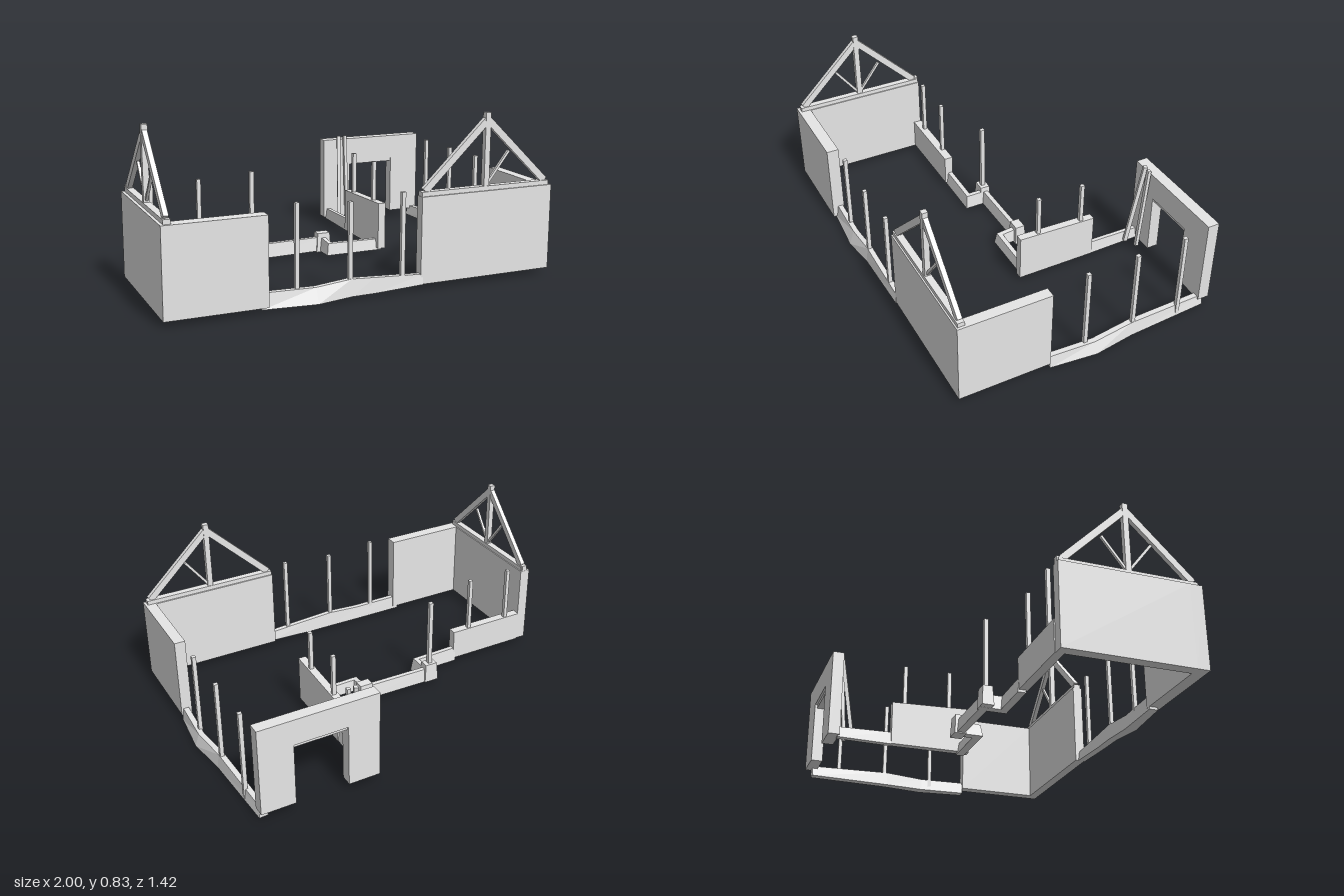
import * as THREE from 'three';

export function createModel() {
  const group = new THREE.Group();
  const plaster = new THREE.MeshStandardMaterial({ color: 0xe6e6e6 });
  plaster.name = 'plain grey';

  const add = (name, geometry) => {
    const mesh = new THREE.Mesh(geometry, plaster);
    mesh.name = name;
    group.add(mesh);
    return mesh;
  };

  // Box given by its limits on each axis
  const box = (name, x0, x1, y0, y1, z0, z1) =>
    add(name, new THREE.BoxGeometry(x1 - x0, y1 - y0, z1 - z0))
      .position.set((x0 + x1) / 2, (y0 + y1) / 2, (z0 + z1) / 2);

  const post = (name, x, z, y0, y1, w = 0.02) =>
    box(name, x - w / 2, x + w / 2, y0, y1, z - w / 2, z + w / 2);

  // Square timber between two points
  const beam = (name, from, to, w, d = w) => {
    const a = new THREE.Vector3(...from), b = new THREE.Vector3(...to);
    const mesh = add(name, new THREE.BoxGeometry(w, d, a.distanceTo(b)));
    mesh.position.copy(a).add(b).multiplyScalar(0.5);
    mesh.lookAt(b);
  };

  // Mitred footing along [x, z, bottom, top, outer flare] points, wider at the foot
  const sill = (name, path, topWidth, footWidth) => {
    const rings = path.map(([x, z, y0, y1, flare = 0], i) => {
      const dir = (p, q) => new THREE.Vector2(q[0] - p[0], q[1] - p[1]).normalize();
      const before = dir(path[Math.max(i - 1, 0)], path[Math.max(i, 1)]);
      const after = i < path.length - 1 ? dir(path[i], path[i + 1]) : before;
      const mid = before.clone().add(after).normalize();
      const stretch = 1 / mid.dot(after);
      const nx = -mid.y * stretch, nz = mid.x * stretch;
      const t = topWidth / 2, f = footWidth / 2;
      return [[f + flare, y0], [t, y1], [-t, y1], [-f, y0]]
        .map(([s, y]) => [x + nx * s, y, z + nz * s]);
    });
    const verts = [];
    const quad = (a, b, c, d) => verts.push(...a, ...b, ...c, ...a, ...c, ...d);
    for (let i = 0; i < rings.length - 1; i++) {
      for (let k = 0; k < 4; k++) {
        const n = (k + 1) % 4;
        quad(rings[i][k], rings[i + 1][k], rings[i + 1][n], rings[i][n]);
      }
    }
    const first = rings[0], last = rings[rings.length - 1];
    quad(first[0], first[1], first[2], first[3]);
    quad(last[3], last[2], last[1], last[0]);
    const geometry = new THREE.BufferGeometry();
    geometry.setAttribute('position', new THREE.Float32BufferAttribute(verts, 3));
    geometry.computeVertexNormals();
    add(name, geometry);
  };

  // Full-height walls
  box('frontRightWall', 0.26, 0.975, 0.028, 0.452, 0.62, 0.67);
  box('rightSideWall', 0.92, 0.975, 0.028, 0.452, 0.2, 0.62);
  box('frontLeftWall', -1, -0.517, 0.028, 0.452, 0.64, 0.703);
  box('leftSideWall', -1, -0.945, 0.028, 0.452, -0.01, 0.64);

  // Low back wall with its posts
  box('backLowWall', -0.945, -0.52, 0.028, 0.19, -0.015, 0.03);
  for (const x of [-0.86, -0.62]) post('backWallPost', x, 0, 0.1, 0.48);

  // Low inner wall with a slightly sloping top
  const inner = new THREE.Shape([[-0.042, 0.03], [0.38, 0.03], [0.38, 0.26], [-0.042, 0.275]]
    .map(([a, b]) => new THREE.Vector2(a, b)));
  const innerWall = add('innerLowWall',
    new THREE.ExtrudeGeometry(inner, { depth: 0.04, bevelEnabled: false }));
  innerWall.rotation.y = Math.PI / 2;
  innerWall.position.x = 0.347;
  for (const z of [-0.065, -0.31]) post('innerWallPost', 0.369, z, 0.1, 0.48);

  // Gateway wall at the back
  const gate = new THREE.Shape([[0.338, 0.042], [0.5, 0.042], [0.5, 0.365], [0.77, 0.365],
    [0.77, 0.042], [0.943, 0.042], [0.943, 0.498], [0.338, 0.498]].map(([a, b]) => new THREE.Vector2(a, b)));
  add('gatewayWall', new THREE.ExtrudeGeometry(gate, { depth: 0.06, bevelEnabled: false }))
    .position.z = -0.712;
  box('gatewayLintel', 0.5, 0.77, 0.345, 0.365, -0.7, -0.66);

  // Timbers leaning on the gateway wall
  beam('leaningTimber', [0.402, 0.055, -0.575], [0.425, 0.52, -0.643], 0.02);
  beam('leaningTimber', [0.462, 0.055, -0.605], [0.462, 0.52, -0.64], 0.018);

  // Footings between the walls
  sill('frontSill', [[-0.545, 0.66, 0.015, 0.09, 0.005], [-0.28, 0.664, 0.012, 0.085, 0.02],
    [-0.1, 0.657, 0.018, 0.1, 0.003], [0.02, 0.657, 0.018, 0.093], [0.27, 0.655, 0.028, 0.078]], 0.026, 0.04);
  sill('backSill', [[-0.53, 0, 0.015, 0.09], [-0.29, 0, 0.012, 0.085], [-0.29, -0.1, 0.012, 0.085],
    [0.085, -0.1, 0.018, 0.09], [0.085, 0, 0.018, 0.08], [0.375, 0, 0.018, 0.075]], 0.024, 0.042);
  sill('innerSill', [[0.367, -0.38, 0.028, 0.095], [0.367, -0.66, 0.033, 0.09]], 0.02, 0.034);
  sill('rightSill', [[0.95, 0.2, 0, 0.063], [0.962, -0.04, 0, 0.063, 0.012],
    [0.943, -0.25, 0, 0.073], [0.918, -0.68, 0, 0.055]], 0.028, 0.046);

  // Tapered stone blocks in the back footing
  for (const [x, z, w] of [[-0.31, -0.098, 0.08], [0.086, -0.103, 0.082]]) {
    const r = Math.SQRT1_2;
    const stone = new THREE.CylinderGeometry(r * 0.82, r, 0.1, 4)
      .rotateY(Math.PI / 4).scale(w, 1, 0.06).toNonIndexed();
    stone.computeVertexNormals();
    add('footingBlock', stone).position.set(x, 0.063, z);
  }

  // Free-standing posts
  post('blockPost', -0.31, -0.097, 0.1, 0.475, 0.022);
  for (const [x, top] of [[-0.368, 0.485], [-0.104, 0.465], [0.165, 0.485]])
    post('frontPost', x, 0.658, 0.05, top);
  for (const [x, z] of [[0.95, 0.005], [0.945, -0.262], [0.94, -0.525]])
    post('rightPost', x, z, 0.006, 0.48);

  // Roof trusses: at() maps (distance along, height) to space
  const truss = (at, c, half, struts) => {
    beam('tieBeam', at(c - half, 0.463), at(c + half, 0.463), 0.035, 0.022);
    const [kx, , kz] = at(c, 0);
    post('kingPost', kx, kz, 0.47, 0.828, 0.028);
    for (const s of [-1, 1])
      beam('rafter', at(c + s * (half - 0.02), 0.475), at(c + s * 0.004, 0.79), 0.024, 0.034);
    for (const s of struts)
      beam('trussStrut', at(c + s * 0.01, 0.485), at(c + s * 0.125, 0.635), 0.013);
  };
  truss((z, y) => [-0.968, y, z], 0.344, 0.345, [-1, 1]);
  truss((x, y) => [x, y, 0.645], 0.612, 0.35, [1]);
  post('trussEndPost', -0.968, 0.005, 0.44, 0.482, 0.028);

  return group;
}
